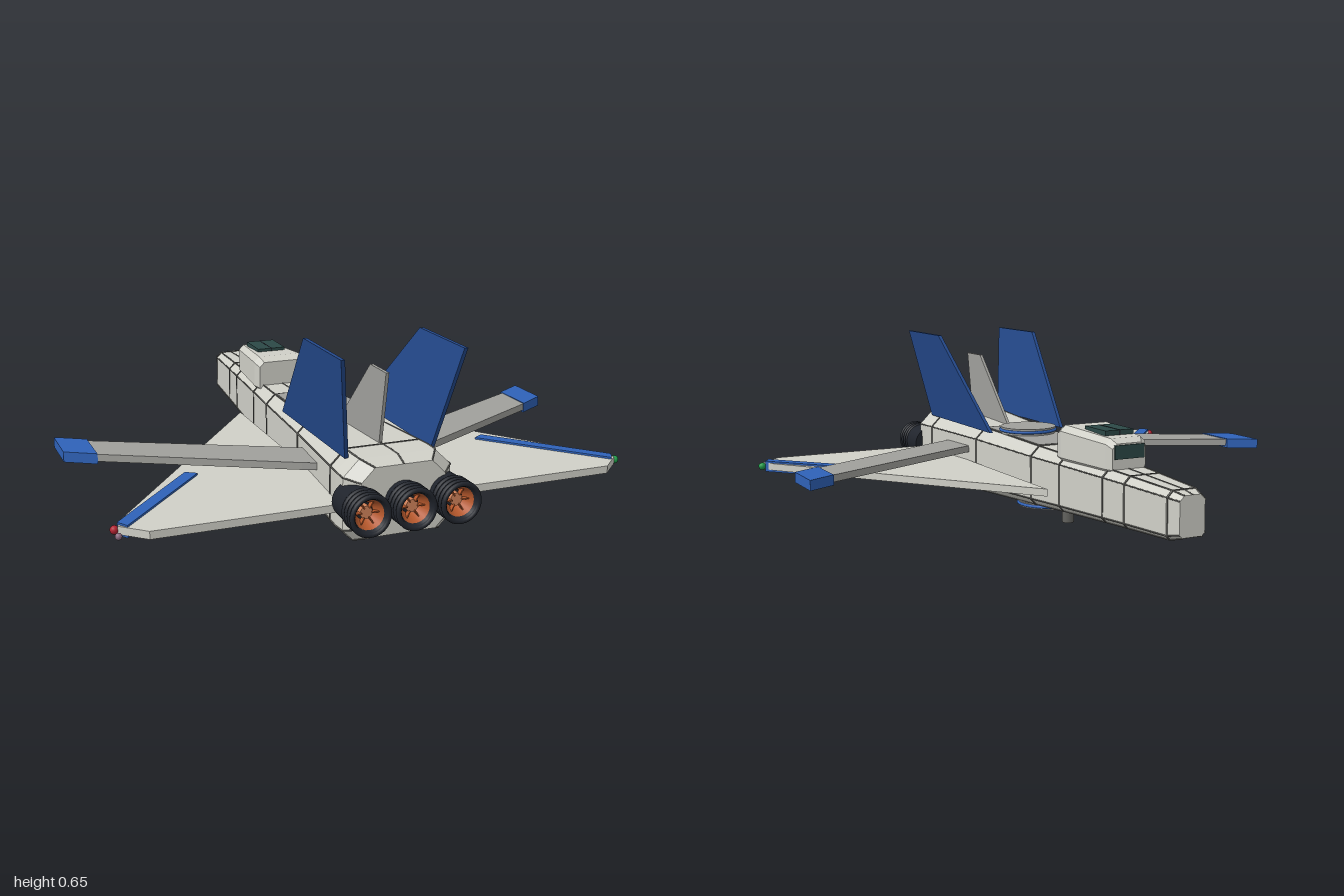
import * as THREE from 'three';

const mat = (color, side = THREE.FrontSide) => new THREE.MeshStandardMaterial({ color, side });
const HULL = mat(0xd0d0c8), GREY = mat(0xa0a09c), SEAM = mat(0x62625e), BLUE = mat(0x2f62b8);
const NAVY = mat(0x24498c), DARK = mat(0x20242c), GLASS = mat(0x2c4846), ORANGE = mat(0xb5582c, THREE.DoubleSide);

// Hull stations: z, half width, bottom, top, chamfer
const STATIONS = [
  [-1, 0.05, 0.088, 0.23, 0.018],
  [-0.95, 0.067, 0.075, 0.24, 0.022],
  [-0.68, 0.087, 0.066, 0.25, 0.027],
  [-0.3, 0.115, 0.05, 0.262, 0.034],
  [-0.1, 0.13, 0.04, 0.268, 0.038],
  [0.33, 0.163, 0.022, 0.285, 0.046],
  [0.78, 0.2, 0.012, 0.3, 0.058],
  [0.84, 0.2, 0.014, 0.3, 0.06],
  [0.89, 0.155, 0.035, 0.28, 0.05],
];

function station(z) {
  let i = 0;
  while (i < STATIONS.length - 2 && z > STATIONS[i + 1][0]) i++;
  const a = STATIONS[i], b = STATIONS[i + 1], t = (z - a[0]) / (b[0] - a[0]);
  return a.map((v, k) => v + (b[k] - v) * t);
}

// Eight-sided section, counter-clockwise seen from +z
function section([z, w, y0, y1, c], grow = 0) {
  const W = w + grow, a = y0 - grow, b = y1 + grow, d = c * 0.65;
  return [[W, a + d], [W, b - c], [W - c, b], [c - W, b], [-W, b - c], [-W, a + d], [d - W, a], [W - d, a]]
    .map(([x, y]) => new THREE.Vector3(x, y, z));
}

// Flat-sided skin through rings ordered by rising z, with end caps
function loft(rings) {
  const p = [], tri = (...v) => v.forEach((q) => p.push(q.x, q.y, q.z)), n = rings[0].length;
  for (let i = 0; i < rings.length - 1; i++) {
    for (let j = 0; j < n; j++) {
      const k = (j + 1) % n, A = rings[i], B = rings[i + 1];
      tri(A[j], A[k], B[k]);
      tri(A[j], B[k], B[j]);
    }
  }
  const first = rings[0], last = rings[rings.length - 1];
  for (let j = 1; j < n - 1; j++) {
    tri(first[0], first[j + 1], first[j]);
    tri(last[0], last[j], last[j + 1]);
  }
  const g = new THREE.BufferGeometry();
  g.setAttribute('position', new THREE.Float32BufferAttribute(p, 3));
  g.computeVertexNormals();
  return g;
}

// Horizontal plate from an [x, z] outline, s mirrors it
function plate(outline, y0, y1, s = 1) {
  const shape = new THREE.Shape(outline.map(([x, z]) => new THREE.Vector2(s * x, -z)));
  return new THREE.ExtrudeGeometry(shape, { depth: y1 - y0, bevelEnabled: false })
    .rotateX(-Math.PI / 2).translate(0, y0, 0);
}

// Upright plate from a [z, y] outline, leaning outwards with height
function fin(outline, thick, x0 = 0, lean = 0) {
  const shape = new THREE.Shape(outline.map(([z, y]) => new THREE.Vector2(z, y)));
  const g = new THREE.ExtrudeGeometry(shape, { depth: thick, bevelEnabled: false })
    .translate(0, 0, -thick / 2).rotateY(-Math.PI / 2);
  const p = g.attributes.position;
  for (let i = 0; i < p.count; i++) p.setX(i, p.getX(i) + x0 + lean * (p.getY(i) - 0.29));
  g.computeVertexNormals();
  return g;
}

export function createModel() {
  const model = new THREE.Group();
  const add = (name, geo, material, x = 0, y = 0, z = 0, parent = model) => {
    const m = new THREE.Mesh(geo, material);
    m.name = name;
    m.position.set(x, y, z);
    parent.add(m);
    return m;
  };
  const rod = (name, a, b, r, material) => {
    const d = b.clone().sub(a);
    const m = add(name, new THREE.CylinderGeometry(r, r, d.length(), 6), material);
    m.position.copy(a).lerp(b, 0.5);
    m.quaternion.setFromUnitVectors(new THREE.Vector3(0, 1, 0), d.normalize());
  };

  // Fuselage with panel seams around and along it
  add('fuselage', loft(STATIONS.map((s) => section(s))), HULL);
  for (const z of [-0.95, -0.71, -0.58, -0.3, -0.1, 0.33, 0.72]) {
    add('hullSeam', loft([z - 0.004, z + 0.004].map((v) => section(station(v), 0.002))), SEAM);
  }
  for (let i = 0; i < STATIONS.length - 1; i++) {
    const A = section(STATIONS[i]), B = section(STATIONS[i + 1]);
    A.forEach((a, j) => rod('edgeTrim', a, B[j], 0.003, SEAM));
    rod('spineSeam', A[2].clone().lerp(A[3], 0.5), B[2].clone().lerp(B[3], 0.5), 0.003, SEAM);
  }

  // Darker dorsal panel following the taper
  add('dorsalPanel', loft([-0.095, 0.325].map((z) => {
    const [, w, , top, c] = station(z), x = w - c - 0.004;
    return [[x, top - 0.01], [x, top + 0.0035], [-x, top + 0.0035], [-x, top - 0.01]]
      .map(([a, b]) => new THREE.Vector3(a, b, z));
  })), GREY);

  // Cockpit housing and windows
  add('cockpit', loft([
    [-0.605, 0.068, 0.24, 0.345, 0.018], [-0.58, 0.082, 0.24, 0.362, 0.02],
    [-0.3, 0.11, 0.24, 0.376, 0.022], [-0.26, 0.1, 0.24, 0.36, 0.02],
  ].map((s) => section(s))), HULL);
  add('cockpitRoofWindow', new THREE.BoxGeometry(0.118, 0.018, 0.145), GLASS, 0, 0.374, -0.467);
  add('windowDivider', new THREE.BoxGeometry(0.005, 0.019, 0.147), DARK, 0, 0.3745, -0.467);
  add('windscreen', new THREE.BoxGeometry(0.12, 0.05, 0.012), GLASS, 0, 0.315, -0.605);

  // Dorsal and belly sensor discs with blue rims
  const disc = (name, y, z, r, h) => {
    add(name, new THREE.CylinderGeometry(r, r, h, 32), GREY, 0, y, z);
    add(name + 'Rim', new THREE.TorusGeometry(r, 0.006, 8, 40).rotateX(Math.PI / 2), BLUE, 0, y, z);
  };
  disc('dorsalDisc', 0.292, 0.175, 0.112, 0.026);
  disc('bellyDisc', 0.025, -0.005, 0.122, 0.02);
  add('bellyDiscMount', new THREE.CylinderGeometry(0.07, 0.07, 0.03, 24), SEAM, 0, 0.042, -0.005);
  for (const z of [0.145, -0.16]) add('bellySensor', new THREE.SphereGeometry(0.013, 12, 8), SEAM, 0, 0.027, z);
  add('bellyTurret', new THREE.CylinderGeometry(0.022, 0.022, 0.055, 12), SEAM, 0.06, 0.0275, -0.27);

  for (const s of [1, -1]) {
    const side = s > 0 ? 'left' : 'right';
    // Lower delta wing with blue leading strip
    add(side + 'DeltaWing', plate([[0.17, -0.31], [0.915, 0.69], [0.94, 0.745], [0.855, 0.825], [0.17, 0.825]], 0.115, 0.143, s), HULL);
    add(side + 'WingStrip', plate([[0.56, 0.37], [0.6, 0.343], [0.937, 0.728], [0.912, 0.768]], 0.106, 0.15, s), BLUE);
    // Forward-swept upper wing and blue tip
    add(side + 'SweptWing', plate([[0.14, 0.405], [0.88, 0.022], [0.88, 0.193], [0.23, 0.548], [0.15, 0.585]], 0.177, 0.204, s), GREY);
    add(side + 'SweptWingTip', plate([[0.88, 0.012], [0.99, -0.055], [0.99, 0.13], [0.88, 0.197]], 0.168, 0.207, s), BLUE);
    // Outward-leaning tail fin
    add(side + 'TailFin', fin([[0.78, 0.285], [0.885, 0.655], [0.555, 0.655], [0.185, 0.285]], 0.014, s * 0.162, s * 0.165), NAVY);
    // Wing tip lamp
    add(side + 'TipLamp', new THREE.SphereGeometry(0.015, 16, 10), mat(s > 0 ? 0x1f9a48 : 0xb02030), s * 0.948, 0.128, 0.735);
  }
  add('tailBeacon', new THREE.SphereGeometry(0.012, 12, 8), mat(0x8a6a80), -0.948, 0.128, 0.795);

  // Centre fin
  add('centreFin', fin([[0.7, 0.285], [0.75, 0.558], [0.62, 0.558], [0.345, 0.28]], 0.012), GREY);

  // Three ribbed engines with glowing nozzles
  for (const x of [-0.165, 0, 0.165]) {
    const engine = new THREE.Group();
    engine.name = 'engine';
    engine.position.set(x, 0.155, 0);
    model.add(engine);
    const tube = (name, r1, r2, z0, z1, material) => add(name,
      new THREE.CylinderGeometry(r2, r1, z1 - z0, 24).rotateX(Math.PI / 2), material, 0, 0, (z0 + z1) / 2, engine);
    tube('engineMount', 0.066, 0.07, 0.82, 0.925, DARK);
    const shell = [[0.05, 0.91], [0.064, 0.91], [0.064, 0.992], [0.056, 0.992], [0.035, 0.93]];
    add('nozzleShell', new THREE.LatheGeometry(shell.map(([r, z]) => new THREE.Vector2(r, z)), 24)
      .rotateX(Math.PI / 2), mat(0x20242c, THREE.DoubleSide), 0, 0, 0, engine);
    for (let i = 0; i < 4; i++) {
      add('nozzleRib', new THREE.TorusGeometry(0.066, 0.0095, 8, 28), DARK, 0, 0, 0.925 + i * 0.0218, engine);
    }
    add('nozzleCone', new THREE.CylinderGeometry(0.057, 0.03, 0.055, 24, 1, true).rotateX(Math.PI / 2), ORANGE, 0, 0, 0.963, engine);
    tube('nozzleCore', 0.022, 0.022, 0.925, 0.955, mat(0xd0825a));
    for (let i = 0; i < 6; i++) {
      const vane = add('nozzleVane', new THREE.BoxGeometry(0.03, 0.004, 0.02), ORANGE, 0, 0, 0.953, engine);
      const a = (i * Math.PI) / 3;
      vane.position.set(Math.cos(a) * 0.033, Math.sin(a) * 0.033, 0.953);
      vane.rotation.z = a;
    }
  }
  return model;
}
